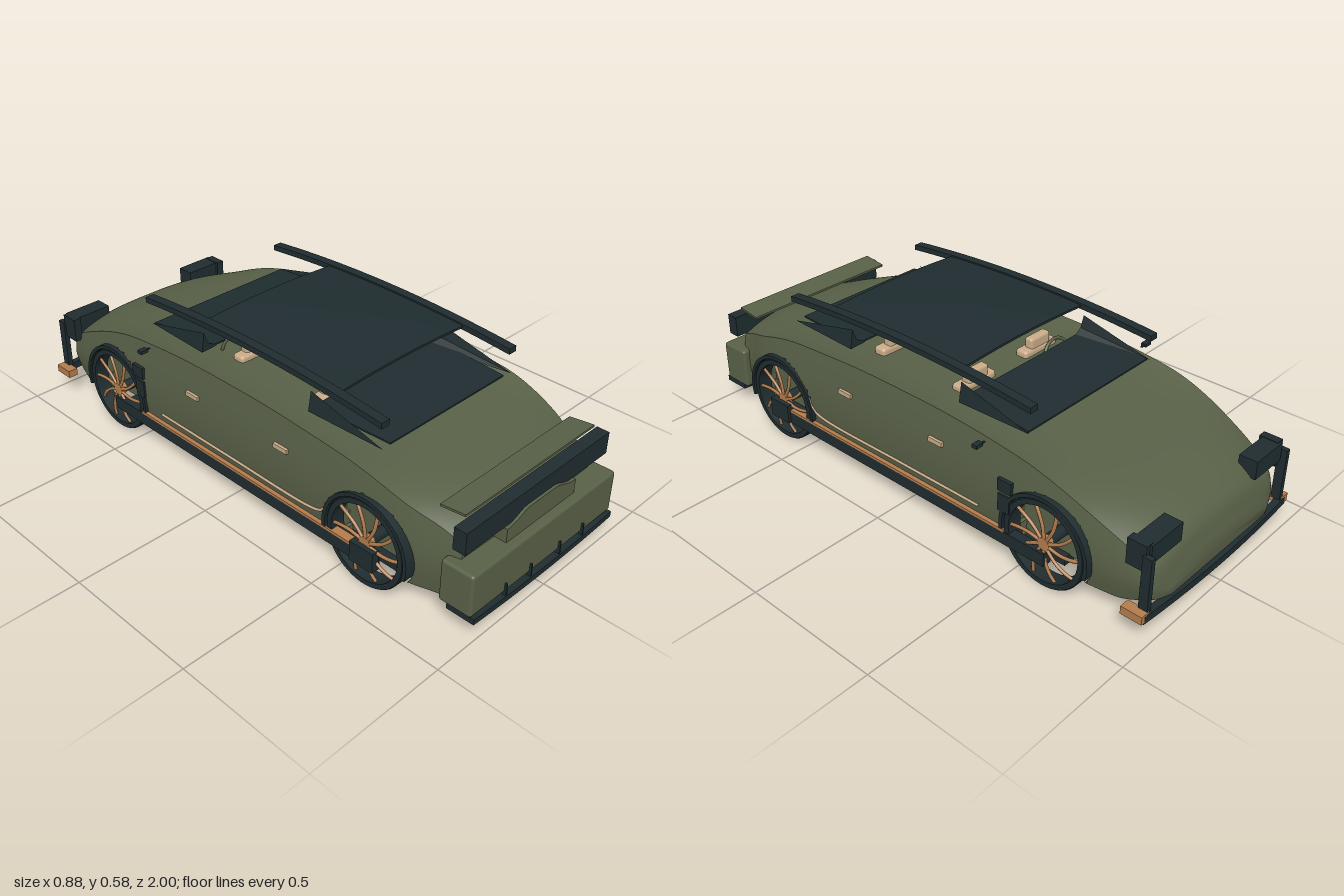
import * as THREE from 'three';
import { toCreasedNormals } from 'three/addons/utils/BufferGeometryUtils.js';
import { RoundedBoxGeometry } from 'three/addons/geometries/RoundedBoxGeometry.js';

const paint = (name, color, side = THREE.FrontSide) => {
  const m = new THREE.MeshStandardMaterial({ color, side });
  m.name = name;
  return m;
};

export function createModel() {
  const car = new THREE.Group();
  car.name = 'car';
  const green = paint('olivePaint', 0x586047, THREE.DoubleSide);
  const dark = paint('darkTrim', 0x1f2c2f, THREE.DoubleSide);
  const beige = paint('beigeLeather', 0xc9ab88);
  const copper = paint('copper', 0xb27b4c);

  const add = (name, geo, mat, x = 0, y = 0, z = 0, parent = car) => {
    const m = new THREE.Mesh(geo, mat);
    m.name = name;
    m.position.set(x, y, z);
    parent.add(m);
    return m;
  };
  // Box given by its limits on each axis
  const box = (name, mat, x0, x1, y0, y1, z0, z1, r = 0) => {
    const s = [x1 - x0, y1 - y0, z1 - z0];
    const g = r ? new RoundedBoxGeometry(...s, 3, r) : new THREE.BoxGeometry(...s);
    return add(name, g, mat, (x0 + x1) / 2, (y0 + y1) / 2, (z0 + z1) / 2);
  };
  const pair = (name, mat, x0, x1, ...rest) => {
    box(name + 'Left', mat, x0, x1, ...rest);
    box(name + 'Right', mat, -x1, -x0, ...rest);
  };

  // Body: lofted sections (half width, top, z), with wheel wells pressed in
  const stations = [
    [0.27, 0.19, -0.985], [0.33, 0.26, -0.955], [0.355, 0.31, -0.88], [0.375, 0.357, -0.75],
    [0.387, 0.392, -0.6], [0.39, 0.42, -0.4], [0.39, 0.434, -0.2], [0.39, 0.437, 0],
    [0.39, 0.434, 0.2], [0.39, 0.422, 0.4], [0.387, 0.404, 0.6], [0.37, 0.38, 0.74],
    [0.34, 0.357, 0.84], [0.322, 0.33, 0.915],
  ];
  const spine = new THREE.CatmullRomCurve3(stations.map((s) => new THREE.Vector3(...s)));
  const section = (u) => {
    const { x: w, y: top, z } = spine.getPoint(u);
    const end = THREE.MathUtils.smoothstep(Math.abs(z), 0.5, 0.95);
    const low = 0.07 + 0.03 * THREE.MathUtils.smoothstep(Math.abs(z), 0.85, 0.98);
    const shoulder = top - 0.05 * end;
    const half = [];
    for (let i = 0; i < 8; i++) half.push([(w * 0.955 * i) / 8, low]);
    for (let i = 0; i < 28; i++) {
      const t = i / 28;
      half.push([w * (0.955 + 0.045 * Math.sin(Math.PI * t)), low + (shoulder - low) * t]);
    }
    const middle = THREE.MathUtils.lerp(top - 0.02, top, end);
    for (let i = 0; i <= 16; i++) {
      const s = 1 - i / 16;
      half.push([w * 0.955 * s, middle + (shoulder - middle) * s ** (5 - 2 * end)]);
    }
    const ring = [...half, ...half.slice(1, -1).reverse().map(([x, y]) => [-x, y])];
    return ring.map(([x, y]) => {
      const inWell = Math.abs(x) > 0.29 && Math.hypot(Math.abs(z) - 0.61, y - 0.155) < 0.164;
      return [inWell ? Math.sign(x) * 0.29 : x, y, z];
    });
  };
  const pos = [], idx = [], steps = 200;
  let n = 0;
  for (let i = 0; i <= steps; i++) {
    const ring = section(i / steps);
    n = ring.length;
    ring.forEach((p) => pos.push(...p));
  }
  for (let i = 0; i < steps; i++) {
    for (let j = 0; j < n; j++) {
      const a = i * n + j, b = i * n + ((j + 1) % n);
      idx.push(a, b, a + n, b, b + n, a + n);
    }
  }
  pos.push(0, 0.15, -0.99, 0, 0.2, 0.92);
  const c = (steps + 1) * n;
  for (let j = 0; j < n; j++) {
    const k = (j + 1) % n;
    idx.push(c, k, j, c + 1, steps * n + j, steps * n + k);
  }
  const bodyGeo = new THREE.BufferGeometry();
  bodyGeo.setAttribute('position', new THREE.Float32BufferAttribute(pos, 3));
  bodyGeo.setIndex(idx);
  add('body', toCreasedNormals(bodyGeo, 0.6), green);

  // Underfloor, sills and door details
  box('floorPan', dark, -0.315, 0.315, 0.045, 0.075, -0.64, 0.68);
  pair('sill', dark, 0.36, 0.395, 0.078, 0.125, -0.62, 0.65);
  pair('sillStrip', copper, 0.365, 0.397, 0.125, 0.134, -0.46, 0.56);
  pair('sillEnd', dark, 0.375, 0.405, 0.078, 0.15, 0.565, 0.66);
  for (const z of [0.255, -0.17]) pair('doorHandle', beige, 0.375, 0.396, 0.317, 0.333, z - 0.03, z + 0.03);
  for (const s of [1, -1]) {
    const line = [[0.387, 0.165, -0.35], [0.388, 0.165, 0], [0.388, 0.167, 0.38], [0.387, 0.18, 0.43], [0.388, 0.23, 0.462]];
    const path = new THREE.CatmullRomCurve3(line.map(([x, y, z]) => new THREE.Vector3(x * s, y, z)));
    add('doorStrip', new THREE.TubeGeometry(path, 40, 0.005, 6), beige);
  }
  pair('fenderVentUpper', dark, 0.37, 0.398, 0.275, 0.318, -0.49, -0.435);
  pair('fenderVentLower', dark, 0.37, 0.396, 0.2, 0.262, -0.48, -0.435);

  // Wheels: thin tyre, swept spokes and hub
  const tyre = new THREE.LatheGeometry(
    [[0.134, -0.028], [0.152, -0.028], [0.155, -0.024], [0.155, 0.024], [0.152, 0.028], [0.134, 0.028], [0.134, -0.028]]
      .map((p) => new THREE.Vector2(...p)), 48);
  const tyreGeo = toCreasedNormals(tyre, 0.5).rotateZ(Math.PI / 2);
  const spokeGeo = new THREE.TubeGeometry(new THREE.CatmullRomCurve3([
    new THREE.Vector3(0.02, 0.015, 0), new THREE.Vector3(0.02, 0.065, 0.008),
    new THREE.Vector3(0.018, 0.105, 0.026), new THREE.Vector3(0.014, 0.128, 0.042),
  ]), 10, 0.006, 6);
  const archGeo = new THREE.ExtrudeGeometry(
    new THREE.Shape().absarc(0, 0, 0.171, -0.25, Math.PI + 0.25, false).absarc(0, 0, 0.158, Math.PI + 0.25, -0.25, true),
    { depth: 0.04, bevelEnabled: false, curveSegments: 32 }).rotateY(Math.PI / 2);
  for (const side of [1, -1]) {
    for (const z of [0.61, -0.61]) {
      const wheel = new THREE.Group();
      wheel.name = 'wheel';
      wheel.position.set(side * 0.363, 0.155, z);
      if (side < 0) wheel.rotation.y = Math.PI;
      car.add(wheel);
      add('tyre', tyreGeo, dark, 0, 0, 0, wheel);
      add('hub', new THREE.CylinderGeometry(0.022, 0.022, 0.025, 20).rotateZ(Math.PI / 2), copper, 0.012, 0, 0, wheel);
      add('axle', new THREE.CylinderGeometry(0.02, 0.02, 0.08, 12).rotateZ(Math.PI / 2), dark, -0.04, 0, 0, wheel);
      for (let i = 0; i < 10; i++) {
        add('spoke', spokeGeo, copper, 0, 0, 0, wheel).rotation.x = (i * Math.PI) / 5;
      }
      add('wheelArch', archGeo, dark, side > 0 ? 0.355 : -0.395, 0.155, z);
    }
  }

  // Floating roof: crowned panel and arched side rails
  const roofY = (z) => 0.563 - 0.09 * (z - 0.04) ** 2;
  const bend = (geo, rule) => {
    const p = geo.attributes.position;
    for (let i = 0; i < p.count; i++) p.setY(i, p.getY(i) + rule(p.getX(i), p.getZ(i)));
    return toCreasedNormals(geo, 0.5);
  };
  add('roofPanel', bend(new THREE.BoxGeometry(0.58, 0.008, 0.61, 20, 1, 16).translate(0, 0, 0.105),
    (x, z) => roofY(z) + 0.01 * (1 - (x / 0.29) ** 2)), dark);
  for (const s of [1, -1]) {
    add('roofRail', bend(new THREE.BoxGeometry(0.034, 0.02, 1.09, 1, 1, 24).translate(s * 0.3, 0, 0.055), (x, z) => roofY(z)), dark);
  }

  // Low screens and their pointed corner pillars
  const screen = (name, z0, z1, w0, w1, y0, y1) => {
    const g = new THREE.BoxGeometry(2, 0.006, z1 - z0, 16, 1, 8).translate(0, 0, (z0 + z1) / 2);
    const p = g.attributes.position;
    for (let i = 0; i < p.count; i++) {
      const t = (p.getZ(i) - z0) / (z1 - z0);
      p.setX(i, p.getX(i) * THREE.MathUtils.lerp(w0, w1, t));
      p.setY(i, p.getY(i) + THREE.MathUtils.lerp(y0, y1, t));
    }
    add(name, toCreasedNormals(g, 0.5), dark);
  };
  screen('windscreen', -0.47, -0.2, 0.3, 0.285, 0.448, 0.455);
  screen('rearScreen', 0.3, 0.595, 0.29, 0.27, 0.455, 0.45);
  const pillar = (tipZ, baseZ, s) => {
    const v = [[0.305, 0.447, tipZ], [0.315, 0.447, baseZ], [0.303, 0.516, baseZ], [0.288, 0.475, baseZ], [0.25, 0.45, baseZ]];
    const g = new THREE.BufferGeometry();
    g.setAttribute('position', new THREE.Float32BufferAttribute(v.flatMap(([x, y, z]) => [x * s, y, z]), 3));
    g.setIndex([0, 1, 2, 0, 2, 3, 0, 3, 4, 0, 4, 1, 1, 3, 2, 1, 4, 3]);
    add('cornerPillar', toCreasedNormals(g, 0.1), dark);
  };
  for (const s of [1, -1]) {
    pillar(0.6, 0.3, s);
    pillar(-0.48, -0.2, s);
  }

  // Seat tops and the steering wheel
  for (const x of [0.155, -0.155]) {
    for (const z of [0.245, -0.12]) {
      box('seatBack', beige, x - 0.081, x + 0.081, 0.38, 0.439, z - 0.02, z + 0.03, 0.012);
      box('headrest', beige, x - 0.048, x + 0.048, 0.425, 0.474, z - 0.016, z + 0.018, 0.01);
    }
  }
  add('steeringWheel', new THREE.TorusGeometry(0.064, 0.006, 8, 32), green, -0.155, 0.42, -0.21).rotation.x = 0.3;

  // Door mirrors on short stalks
  pair('mirror', dark, 0.41, 0.44, 0.418, 0.43, -0.39, -0.37);
  pair('mirrorStalk', dark, 0.395, 0.41, 0.421, 0.425, -0.385, -0.378);

  // Positive-z end: panel, light bar, raised lip, spoiler and splitter
  box('endPanel', green, -0.356, 0.356, 0.085, 0.236, 0.872, 0.99, 0.01);
  box('lightBar', dark, -0.35, 0.35, 0.288, 0.366, 0.905, 0.95);
  const lip = new THREE.Shape();
  lip.moveTo(-0.17, 0.232);
  lip.lineTo(0.17, 0.232);
  lip.lineTo(0.17, 0.285);
  lip.bezierCurveTo(0.11, 0.288, 0.1, 0.312, 0.06, 0.312);
  lip.lineTo(-0.06, 0.312);
  lip.bezierCurveTo(-0.1, 0.312, -0.11, 0.288, -0.17, 0.285);
  add('tailLip', toCreasedNormals(new THREE.ExtrudeGeometry(lip, { depth: 0.075, bevelEnabled: false }), 0.5), green, 0, 0, 0.885);
  add('spoiler', bend(new THREE.BoxGeometry(0.63, 0.008, 0.09, 16, 1, 2).translate(0, 0, 0.87),
    (x, z) => 0.384 + (z - 0.87) * 0.12), green);
  add('splitter', bend(new THREE.BoxGeometry(0.7, 0.02, 0.1, 20, 1, 1).translate(0, 0, 0.95),
    (x) => 0.063 + 0.1 * x * x), dark);
  for (const x of [-0.195, -0.073, 0.073, 0.195]) box('splitterFin', dark, x - 0.003, x + 0.003, 0.07, 0.12, 0.96, 0.997);

  // Negative-z end: lamps, struts and bumper with copper tips
  pair('lamp', dark, 0.2, 0.35, 0.252, 0.318, -0.965, -0.9);
  pair('lampSide', dark, 0.335, 0.365, 0.23, 0.32, -0.957, -0.89);
  pair('bumperStrut', dark, 0.355, 0.373, 0.1, 0.29, -0.982, -0.95);
  const bumper = new THREE.BoxGeometry(0.78, 0.026, 0.025, 24, 1, 1);
  const bp = bumper.attributes.position;
  for (let i = 0; i < bp.count; i++) bp.setZ(i, bp.getZ(i) - 0.9875 + 0.1 * bp.getX(i) ** 2);
  add('bumper', toCreasedNormals(bumper, 0.5), dark, 0, 0.085, 0);
  pair('bumperTip', copper, 0.365, 0.402, 0.078, 0.106, -0.985, -0.91);

  return car;
}
